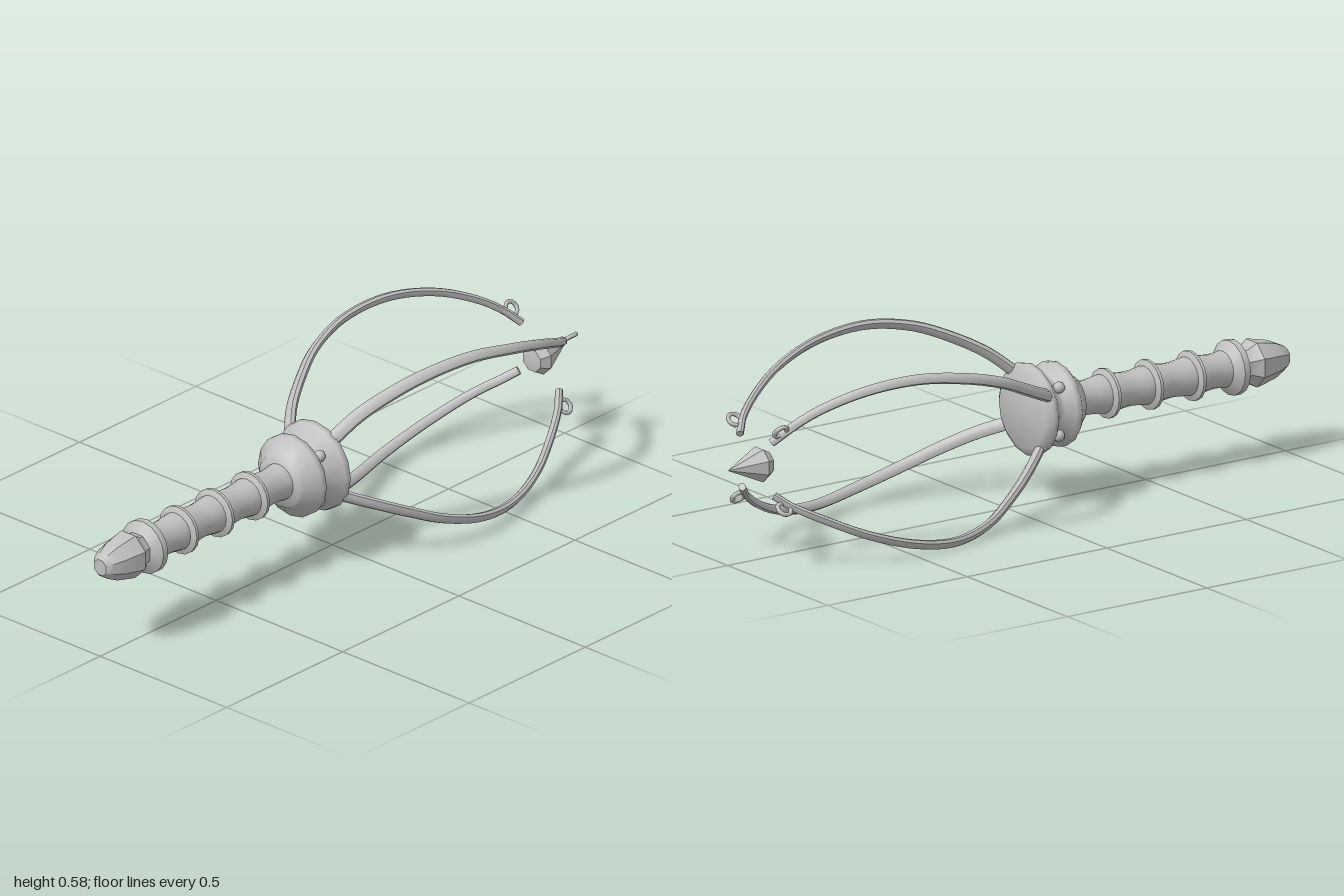
import * as THREE from 'three';
import { toCreasedNormals } from 'three/addons/utils/BufferGeometryUtils.js';

const AXIS_Y = 0.286;
const metal = new THREE.MeshStandardMaterial({ color: 0xbfbfbf });
metal.name = 'grey metal';

function part(name, geometry) {
  const mesh = new THREE.Mesh(geometry, metal);
  mesh.name = name;
  return mesh;
}

// Turned part around the z axis; profile is [z, radius] with z increasing
function turned(name, profile, sides, phase = 0, crease = 0.6) {
  const points = profile.map(([z, r]) => new THREE.Vector2(r, z));
  const geometry = new THREE.LatheGeometry(points, sides, phase).rotateX(Math.PI / 2);
  return part(name, toCreasedNormals(geometry, crease));
}

// Tapered bar along a curve, flattened toward the axis and closed at both ends
function taperedBar(curve, r0, r1, segments, sides) {
  const geometry = new THREE.TubeGeometry(curve, segments, 1, sides);
  const pos = geometry.attributes.position;
  const sideways = new THREE.Vector3(-1, 1, 0).normalize();
  const v = new THREE.Vector3();
  const row = sides + 1;
  for (let i = 0; i <= segments; i++) {
    const t = i / segments;
    const centre = curve.getPointAt(t);
    const r = r0 + (r1 - r0) * t;
    const widen = 0.5 - 0.3 * t;
    for (let j = 0; j < row; j++) {
      const k = i * row + j;
      v.fromBufferAttribute(pos, k).sub(centre);
      v.addScaledVector(sideways, widen * v.dot(sideways)).multiplyScalar(r).add(centre);
      pos.setXYZ(k, v.x, v.y, v.z);
    }
  }
  // Fold the outermost rows into flat end caps
  for (const [end, next] of [[0, 1], [segments, segments - 1]]) {
    const centre = curve.getPointAt(end / segments);
    for (let j = 0; j < row; j++) {
      const a = end * row + j;
      v.fromBufferAttribute(pos, a);
      pos.setXYZ(next * row + j, v.x, v.y, v.z);
      pos.setXYZ(a, centre.x, centre.y, centre.z);
    }
  }
  return toCreasedNormals(geometry, 0.8);
}

// One curved prong with its ring and the stud at its root
function makeProng() {
  const prong = new THREE.Group();
  const curve = new THREE.CatmullRomCurve3([
    [0.066, 0.1, 0.075], [0.1, 0.162, 0], [0.146, 0.217, -0.1], [0.19, 0.255, -0.2],
    [0.231, 0.273, -0.34], [0.25, 0.25, -0.5], [0.227, 0.2, -0.66],
    [0.172, 0.14, -0.79], [0.118, 0.1, -0.865], [0.085, 0.074, -0.895],
  ].map((p) => new THREE.Vector3(...p)));
  prong.add(part('prongBar', taperedBar(curve, 0.015, 0.011, 40, 8)));

  // Ring lies in the plane of the axis and the outward diagonal
  const ring = part('prongRing', new THREE.TorusGeometry(0.021, 0.007, 6, 12));
  ring.position.set(0.124, 0.106, -0.886);
  ring.quaternion.setFromUnitVectors(
    new THREE.Vector3(0, 0, 1), new THREE.Vector3(0.07, -0.09, 0).normalize());
  prong.add(ring);

  const stud = part('guardStud', new THREE.SphereGeometry(0.018, 10, 8));
  stud.position.set(0.073, 0.073, 0.135);
  prong.add(stud);
  return prong;
}

export function createModel() {
  const model = new THREE.Group();
  const body = new THREE.Group();
  body.name = 'body';
  body.position.y = AXIS_Y;
  model.add(body);

  // Faceted pommel and bevelled collar
  body.add(turned('pommel', [
    [0.83, 0.052], [0.85, 0.054], [0.878, 0.073], [0.895, 0.07],
    [0.95, 0.057], [0.985, 0.04], [1, 0.026], [1, 0],
  ], 8, Math.PI / 8));
  body.add(turned('collar', [
    [0.775, 0.055], [0.797, 0.083], [0.817, 0.083], [0.838, 0.052], [0.838, 0],
  ], 16));

  // Grip swells gently toward each ring
  const grip = [];
  for (let i = 0; i <= 36; i++) {
    const z = 0.2 + (0.6 * i) / 36;
    grip.push([z, 0.055 + 0.0035 * Math.cos(((z - 0.355) / 0.1525) * Math.PI * 2)]);
  }
  body.add(turned('grip', grip, 16));
  for (const z of [0.355, 0.507, 0.66]) {
    body.add(turned('gripRing', [
      [z - 0.014, 0.055], [z - 0.005, 0.075], [z + 0.005, 0.075], [z + 0.014, 0.055],
    ], 16));
  }

  // Double-flanged guard
  body.add(turned('guard', [
    [0.055, 0], [0.055, 0.115], [0.073, 0.14], [0.09, 0.137], [0.125, 0.095], [0.142, 0.095],
    [0.162, 0.127], [0.182, 0.127], [0.218, 0.087], [0.23, 0.08], [0.23, 0],
  ], 16, 0, 1.2));

  // Four prongs around the axis
  for (let i = 0; i < 4; i++) {
    const prong = makeProng();
    prong.name = 'prong';
    prong.rotation.z = (i * Math.PI) / 2;
    body.add(prong);
  }

  // Spike floating between the prong tips
  body.add(turned('spike', [
    [-1, 0], [-0.887, 0.054], [-0.858, 0.037], [-0.85, 0],
  ], 8, Math.PI / 8));

  return model;
}
